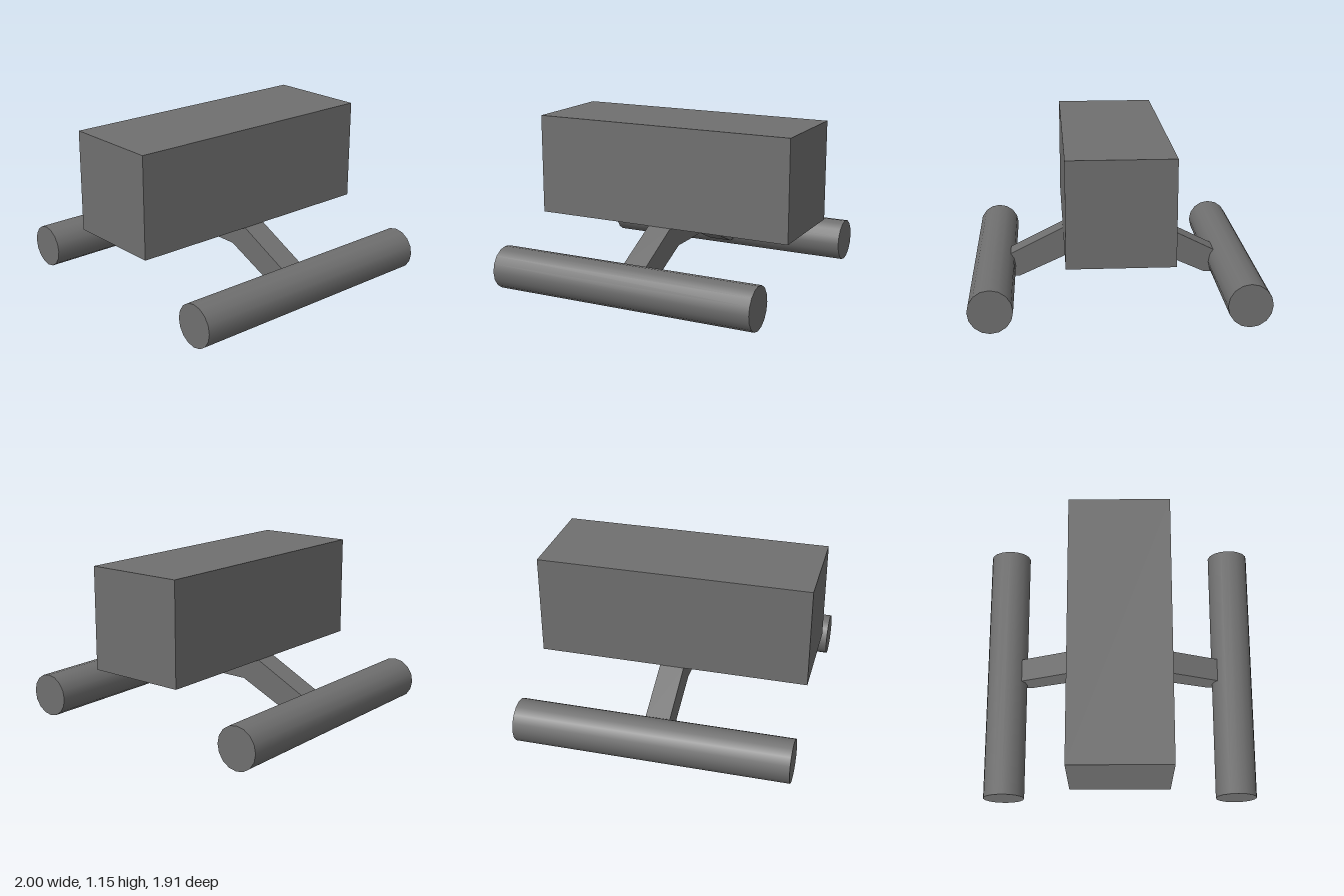
import * as THREE from 'three';

export function createModel() {
  const model = new THREE.Group();
  const material = new THREE.MeshStandardMaterial({ color: 0x6f6f6f });
  const length = 1.915;

  const add = (name, geometry, x = 0, y = 0, z = 0) => {
    const mesh = new THREE.Mesh(geometry, material);
    mesh.name = name;
    mesh.position.set(x, y, z);
    model.add(mesh);
  };

  // Long box body
  add('body', new THREE.BoxGeometry(0.714, 0.716, length), 0, 0.79, 0);

  // Round floats, lying along z on both sides
  const float = new THREE.CylinderGeometry(0.15, 0.15, length, 16).rotateX(Math.PI / 2);
  add('leftFloat', float, 0.85, 0.15, 0);
  add('rightFloat', float, -0.85, 0.15, 0);

  // Bent strut under the body: one half outline, mirrored in x
  const half = [[0.225, 0.277], [0.67, 0.075], [0.735, 0.075], [0.735, 0.243], [0.357, 0.432]];
  const outline = [...half, ...half.map(([x, y]) => [-x, y]).reverse()];
  const shape = new THREE.Shape(outline.map(([x, y]) => new THREE.Vector2(x, y)));
  const strut = new THREE.ExtrudeGeometry(shape, { depth: 0.17, bevelEnabled: false });
  add('strut', strut, 0, 0, -0.085);

  return model;
}
